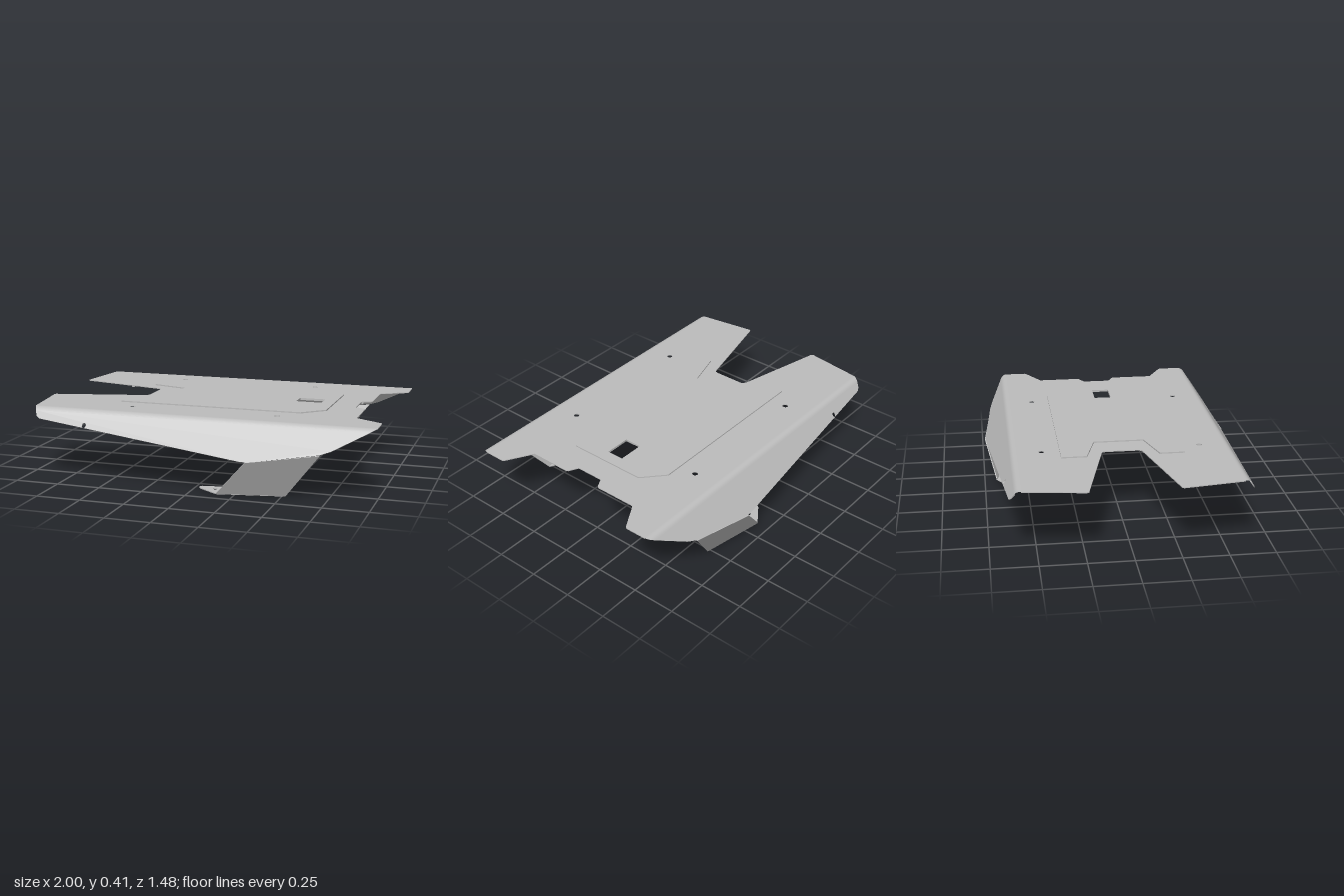
import * as THREE from 'three';

const steel = new THREE.MeshStandardMaterial({ color: 0xbebebe, side: THREE.DoubleSide });
steel.name = 'brushed steel';

const T = 0.005; // sheet thickness
const V = (x, y, z) => new THREE.Vector3(x, y, z);

// Closed outline with round holes [x, y, radius] and polygonal cutouts
function outline(points, holes = [], cutouts = []) {
  const shape = new THREE.Shape(points.map(p => new THREE.Vector2(...p)));
  for (const [x, y, r] of holes) shape.holes.push(new THREE.Path().absarc(x, y, r, 0, Math.PI * 2, true));
  for (const c of cutouts) shape.holes.push(new THREE.Path(c.map(p => new THREE.Vector2(...p))));
  return shape;
}

// Outline for z > 0, completed by its mirror image
const mirrored = half => [...half, ...half.map(([x, z]) => [x, -z]).reverse()];

// Flat sheet in the plane of axes a and b; side -1 mirrors it across z
function sheet(name, shape, origin, a, b, side = 1, depth = T) {
  const geo = new THREE.ExtrudeGeometry(shape, { depth, bevelEnabled: false, curveSegments: 8 });
  const normal = a.clone().cross(b).normalize();
  const m = new THREE.Matrix4().makeBasis(a, b, normal).setPosition(origin);
  geo.applyMatrix4(m.premultiply(new THREE.Matrix4().makeScale(1, 1, side)));
  if (side < 0) {
    // restore outward winding after mirroring
    for (const attr of Object.values(geo.attributes)) {
      for (let i = 0; i < attr.count; i += 3) {
        for (let k = 0; k < attr.itemSize; k++) {
          const v = attr.getComponent(i + 1, k);
          attr.setComponent(i + 1, k, attr.getComponent(i + 2, k));
          attr.setComponent(i + 2, k, v);
        }
      }
    }
  }
  const mesh = new THREE.Mesh(geo, steel);
  mesh.name = name;
  return mesh;
}

// Rounded fold between the top plate and a side flange
function fold(side) {
  const curve = new THREE.QuadraticBezierCurve(
    new THREE.Vector2(0.578, 0.4), new THREE.Vector2(0.6, 0.4), new THREE.Vector2(0.6138, 0.38));
  const pos = [], index = [], n = 8;
  for (let i = 0; i <= n; i++) {
    const t = i / n, p = curve.getPoint(t);
    pos.push(-0.953 + 0.016 * t, p.y, p.x * side, 1 - 0.038 * t * t, p.y, p.x * side);
    if (i < n) {
      const k = i * 2;
      index.push(...(side > 0
        ? [k, k + 2, k + 1, k + 1, k + 2, k + 3]
        : [k, k + 1, k + 2, k + 1, k + 3, k + 2]));
    }
  }
  const geo = new THREE.BufferGeometry();
  geo.setAttribute('position', new THREE.Float32BufferAttribute(pos, 3));
  geo.setIndex(index);
  geo.computeVertexNormals();
  const mesh = new THREE.Mesh(geo, steel);
  mesh.name = 'flangeFold';
  return mesh;
}

export function createModel() {
  const group = new THREE.Group();
  group.name = 'skidPlate';
  const X = V(1, 0, 0), Z = V(0, 0, 1);
  const window = [[0.43, -0.05], [0.43, 0.05], [0.58, 0.05], [0.58, -0.05]];
  const bolts = [-0.42, 0.425].flatMap(x => [[x, 0.44, 0.016], [x, -0.44, 0.016]]);

  // Top plate with notched ends, bolt holes and drain window
  const plate = mirrored([
    [0.785, 0.08], [0.838, 0.108], [0.845, 0.12], [0.845, 0.36], [0.993, 0.445], [1, 0.455], [1, 0.578],
    [-0.953, 0.578], [-1, 0.25], [-0.995, 0.238], [-0.475, 0.113], [-0.46, 0.105], [-0.455, 0.09],
  ]);
  group.add(sheet('topPlate', outline(plate, bolts, [window]), V(0, 0.4, 0), X, Z));

  // Slightly raised panel
  const panel = mirrored([[0.65, 0.23], [0.53, 0.34], [-0.53, 0.34], [-0.53, 0.2], [-0.32, 0.14]]);
  group.add(sheet('raisedPanel', outline(panel, [], [window]), V(0, 0.407, 0), X, Z, 1, 0.009));

  // Sloping flange: x against drop below the plate
  const flange = outline([
    [-0.937, 0.02], [-0.925, 0.047], [-0.905, 0.06], [0.3, 0.194], [0.34, 0.195],
    [0.72, 0.136], [0.78, 0.115], [0.962, 0.02],
  ], [[-0.625, 0.079, 0.012]]);

  // Folded strut: axes run along its foot and up its front edge
  const strut = outline([[0, 0], [1, 0], [0.92, 1.275], [0, 1]]);

  // Foot tab turned inward under the strut
  const foot = outline([
    [0.52, 0.605], [0.44, 0.565], [0.34, 0.543], [0.13, 0.54], [0.035, 0.555], [0.02, 0.575], [0.04, 0.6],
    [0.15, 0.675],
  ], [[0.12, 0.59, 0.013], [0.31, 0.585, 0.013]]);

  // Threaded standoffs under the plate
  const standoffs = [[0.845, 0.54], [0.775, 0.155], [-0.475, 0.155], [-0.69, 0.23], [-0.66, 0.5]];
  const standoffGeo = new THREE.CylinderGeometry(0.01, 0.01, 0.024, 16);

  for (const side of [1, -1]) {
    group.add(fold(side));
    group.add(sheet('sideFlange', flange, V(0, 0.4, 0.6), X, V(0, -1, 0.69), side));
    group.add(sheet('strut', strut, V(0.15, 0.005, 0.675), V(0.37, 0, -0.07), V(0.18, 0.2, 0.06), side));
    group.add(sheet('footTab', foot, V(0, 0.005, 0), X, Z, side));
    for (const [x, z] of standoffs) {
      const s = new THREE.Mesh(standoffGeo, steel);
      s.name = 'standoff';
      s.position.set(x, 0.387, z * side);
      group.add(s);
    }
  }

  // Small lip beside the window
  const lip = new THREE.Mesh(new THREE.BoxGeometry(0.025, 0.012, 0.07), steel);
  lip.name = 'windowLip';
  lip.position.set(0.665, 0.393, 0);
  group.add(lip);
  return group;
}
